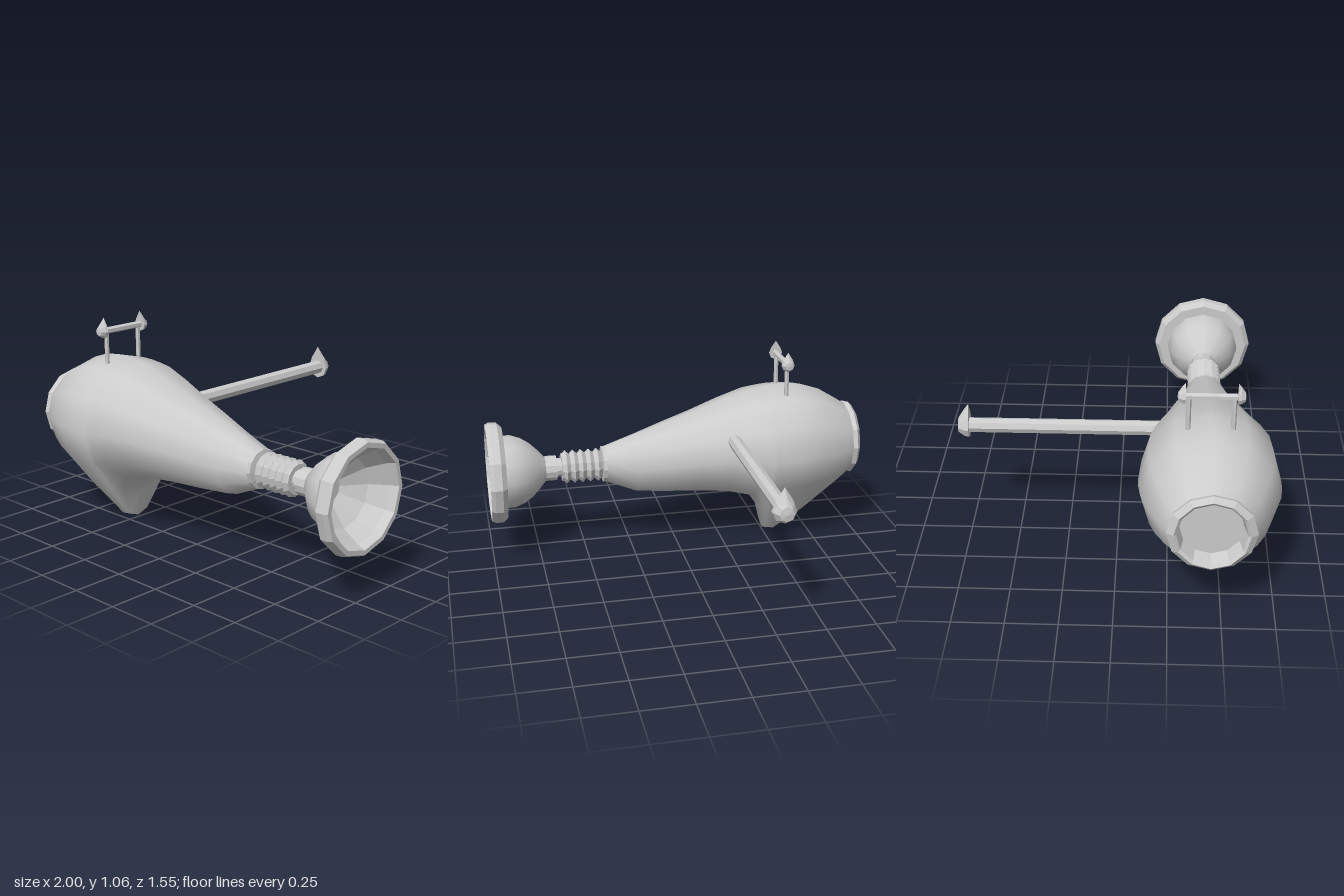
import * as THREE from 'three';

const AXIS_Z = 0.44, HORN_Y = 0.475, SIDES = 12;
const smooth = new THREE.MeshStandardMaterial({ color: 0xcccccc });
const flat = new THREE.MeshStandardMaterial({ color: 0xcccccc, flatShading: true });

function add(parent, name, geometry, material) {
  const mesh = new THREE.Mesh(geometry, material);
  mesh.name = name;
  parent.add(mesh);
  return mesh;
}

// Skin rings along x. Each ring: [x, top, bottom, halfWidth, drop, pinch];
// drop and pinch pull the lowest three points down and together into the spur.
function loft(rings) {
  const pos = [], index = [];
  rings.forEach(([x, top, bottom, w, drop = 0, pinch = 0]) => {
    const cy = (top + bottom) / 2, h = (top - bottom) / 2;
    for (let j = 0; j < SIDES; j++) {
      const a = j / SIDES * Math.PI * 2;
      let y = cy + h * Math.sin(a), z = w * Math.cos(a);
      if (j === 9) y -= drop;
      if (j === 8 || j === 10) { y -= drop * 1.1; z *= 1 - pinch; }
      pos.push(x, y, AXIS_Z + z);
    }
  });
  for (let i = 0; i < rings.length - 1; i++) {
    for (let j = 0; j < SIDES; j++) {
      const a = i * SIDES + j, c = i * SIDES + (j + 1) % SIDES;
      index.push(a, a + SIDES, c, a + SIDES, c + SIDES, c);
    }
  }
  const g = new THREE.BufferGeometry();
  g.setAttribute('position', new THREE.Float32BufferAttribute(pos, 3));
  g.setIndex(index);
  g.computeVertexNormals();
  return g;
}

// Lathe turned about the horn axis; profile points are [x, radius]
function turned(profile) {
  const g = new THREE.LatheGeometry(profile.map(([x, r]) => new THREE.Vector2(r, x)), SIDES);
  return g.rotateZ(-Math.PI / 2).translate(0, HORN_Y, AXIS_Z);
}

// Domed end cap facing +z whose outline rises to a point at the top
function capGeometry(r, depth) {
  const profile = [[0, 0], [1, 0], [0.93, 0.35], [0.6, 0.9], [0, 1]];
  const g = new THREE.LatheGeometry(profile.map(([a, b]) => new THREE.Vector2(a, b)), 8);
  g.rotateX(Math.PI / 2);
  const p = g.attributes.position;
  for (let i = 0; i < p.count; i++) {
    const x = p.getX(i), y = p.getY(i), len = Math.hypot(x, y);
    if (y > 0 && len > 0) {
      p.setY(i, y * (1 + 0.9 * (1 - p.getZ(i)) * Math.pow(y / len, 6)));
    }
  }
  return g.scale(r, r, depth);
}

function rod(r, length, sides) {
  return new THREE.CylinderGeometry(r, r, length, sides);
}

export function createModel() {
  const model = new THREE.Group();
  model.name = 'model';

  // Bulbous body with the spur pulled out of its underside
  add(model, 'body', loft([
    [-0.955, 0.72, 0.335, 0.2],
    [-0.9, 0.757, 0.295, 0.24],
    [-0.8, 0.818, 0.25, 0.29, 0.03, 0.1],
    [-0.7, 0.85, 0.215, 0.323, 0.085, 0.3],
    [-0.62, 0.859, 0.202, 0.334, 0.145, 0.55],
    [-0.55, 0.858, 0.2, 0.335, 0.19, 0.64],
    [-0.5, 0.853, 0.205, 0.331, 0.185, 0.62],
    [-0.475, 0.85, 0.21, 0.329, 0.06, 0.3],
    [-0.41, 0.838, 0.245, 0.322],
    [-0.27, 0.793, 0.282, 0.285],
    [-0.1, 0.733, 0.295, 0.23],
    [0.05, 0.685, 0.3, 0.188],
    [0.22, 0.628, 0.31, 0.135],
    [0.38, 0.572, 0.378, 0.096],
  ]), smooth);

  // Rounded lip and recessed opening at the wide end
  add(model, 'mouthRim', loft([
    [-0.93, 0.53, 0.53, 0],
    [-0.93, 0.675, 0.385, 0.145],
    [-0.99, 0.69, 0.365, 0.16],
    [-1, 0.705, 0.35, 0.172],
    [-0.978, 0.728, 0.328, 0.205],
    [-0.955, 0.72, 0.335, 0.2],
  ]), flat);

  // Ribbed neck
  const ribs = [[0.375, 0], [0.375, 0.097], [0.395, 0.097]];
  for (let i = 0; i < 5; i++) {
    ribs.push([0.4 + i * 0.042, 0.07], [0.421 + i * 0.042, 0.09]);
  }
  ribs.push([0.605, 0.075], [0.613, 0.075], [0.613, 0]);
  add(model, 'ribbedNeck', turned(ribs), flat);
  add(model, 'neckCollar', turned([
    [0.6, 0.05], [0.64, 0.05], [0.64, 0.067], [0.7, 0.067],
  ]), flat);

  // Flared cup, its rim and faceted inside
  add(model, 'cup', turned([
    [0.7, 0.065], [0.735, 0.105], [0.775, 0.145], [0.82, 0.175], [0.87, 0.193], [0.92, 0.195],
  ]), smooth);
  add(model, 'cupRim', turned([
    [0.915, 0.19], [0.915, 0.245], [0.94, 0.268], [0.98, 0.268], [1, 0.258], [1, 0.235],
  ]), flat);
  add(model, 'cupInside', turned([
    [1, 0.235], [0.96, 0.22], [0.88, 0.165], [0.8, 0.06], [0.8, 0],
  ]), flat);

  // Small handle on top: two posts, a crossbar and pointed caps
  const handle = new THREE.Group();
  handle.name = 'topHandle';
  handle.position.set(-0.59, 1, AXIS_Z - 0.008);
  model.add(handle);
  add(handle, 'handleBar', rod(0.017, 0.25, 6).rotateX(Math.PI / 2), flat);
  for (const s of [1, -1]) {
    add(handle, 'handlePost', rod(0.012, 0.18, 6), flat).position.set(0, -0.09, s * 0.103);
    const cap = add(handle, 'handleCap', capGeometry(0.036, 0.036), flat);
    cap.position.z = s * 0.118;
    if (s < 0) cap.rotation.y = Math.PI;
  }

  // Long side lever with a pointed cap
  const lever = new THREE.Group();
  lever.name = 'sideLever';
  lever.position.set(-0.277, 0.64, 0);
  model.add(lever);
  const bar = rod(0.037, 0.93, 8).rotateX(Math.PI / 2);
  const p = bar.attributes.position;
  for (let i = 0; i < p.count; i++) { // slanted inner end
    if (p.getZ(i) > 0) p.setZ(i, p.getZ(i) + p.getY(i) * 0.4);
  }
  add(lever, 'leverBar', bar, flat).position.z = -0.26;
  const leverCap = add(lever, 'leverCap', capGeometry(0.061, 0.058), flat);
  leverCap.position.z = -0.722;
  leverCap.rotation.y = Math.PI;

  return model;
}
